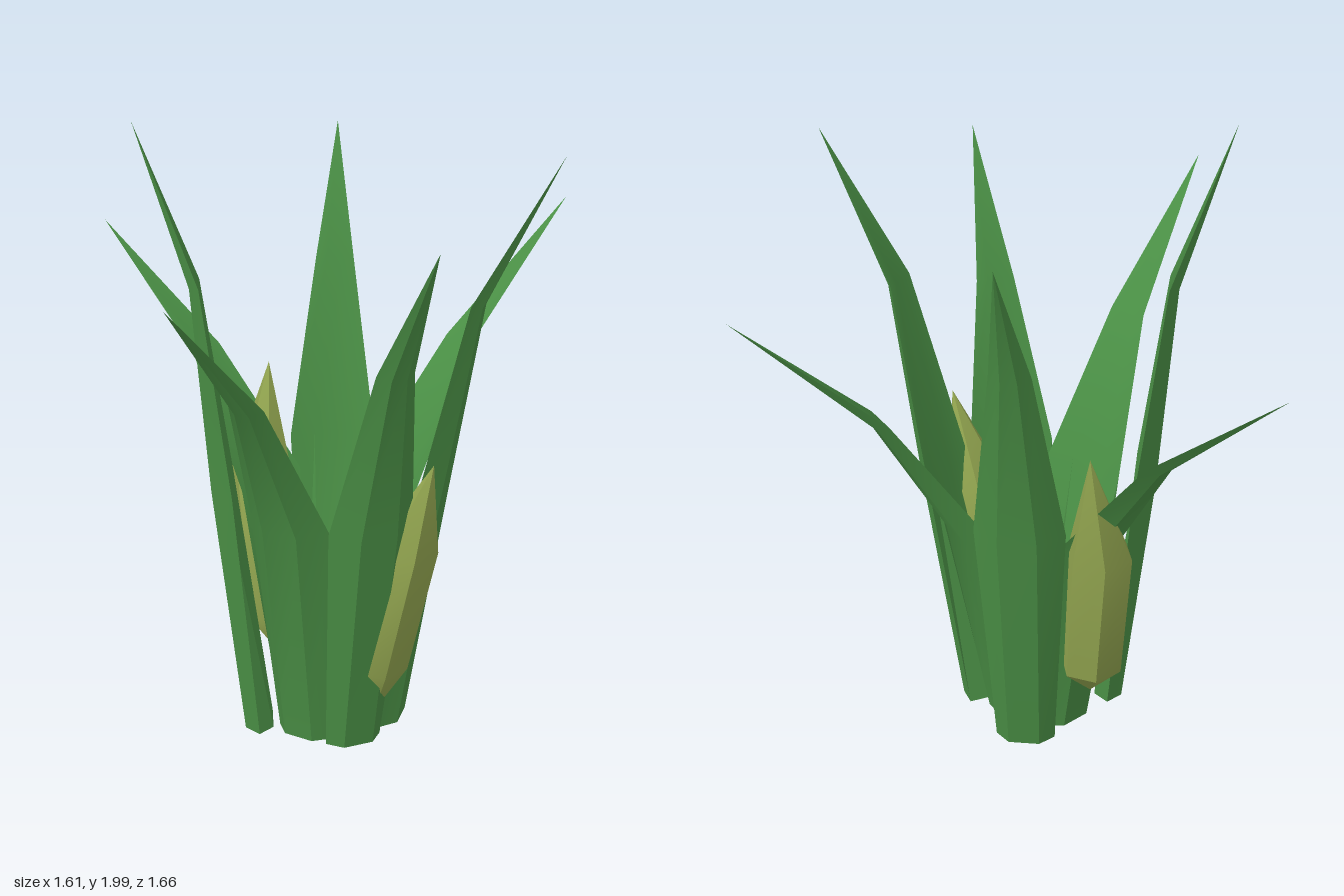
import * as THREE from 'three';
import { toCreasedNormals } from 'three/addons/utils/BufferGeometryUtils.js';

const V = (p) => new THREE.Vector3(...p);
const UP = new THREE.Vector3(0, 1, 0);

// Skins six-sided rings from a start point to a tip
function loft(start, rings, tip) {
  const n = rings[0].length;
  const pts = [start, ...rings.flat(), tip];
  const last = pts.length - 1;
  const index = [];
  for (let j = 0; j < n; j++) {
    const k = (j + 1) % n;
    index.push(0, 1 + k, 1 + j);
    for (let r = 0; r < rings.length - 1; r++) {
      const a = 1 + r * n + j, b = 1 + r * n + k;
      index.push(a, b, b + n, a, b + n, a + n);
    }
    const top = 1 + (rings.length - 1) * n;
    index.push(top + j, top + k, last);
  }
  const geo = new THREE.BufferGeometry().setFromPoints(pts);
  geo.setIndex(index);
  return toCreasedNormals(geo, 0.6);
}

// Ring profile: half width, half width of flat, outer offset, inner offset
const PROFILE = [
  [0.095, 0.05, 0.045, -0.045],
  [0.14, 0.06, 0.065, 0.025],
  [0.062, 0.025, 0.03, 0.0],
];

// Folded leaf blade along base, belly, bend and tip
function leafGeometry(points) {
  const p = points.map(V);
  const out = p[3].clone().sub(p[0]).setY(0).normalize();
  const side = UP.clone().cross(out);
  const rings = PROFILE.map(([w, f, o, i], r) => {
    const tangent = r ? p[r + 1].clone().sub(p[r - 1]).normalize() : UP;
    const normal = side.clone().cross(tangent).normalize();
    return [[-w, 0], [-f, o], [f, o], [w, 0], [f, i], [-f, i]].map(([u, v]) =>
      p[r].clone().addScaledVector(side, u).addScaledVector(normal, v));
  });
  return loft(p[0], rings, p[3]);
}

// Faceted pod: bottom point, two hexagonal rings, tip
function podGeometry(points, radii) {
  const p = points.map(V);
  const rings = radii.map((radius, r) => Array.from({ length: 6 }, (_, j) => {
    const a = (j + 0.5) * Math.PI / 3;
    return p[r + 1].clone().add(V([radius * Math.sin(a), 0, radius * Math.cos(a)]));
  }));
  return loft(p[0], rings, p[3]);
}

const LEAVES = [
  [[0.18, 0.01, -0.17], [0.25, 0.76, -0.26], [0.43, 1.2, -0.49], [0.705, 1.61, -0.835]],
  [[0.31, 0.01, -0.09], [0.41, 0.8, -0.08], [0.555, 1.46, -0.08], [0.805, 1.92, -0.08]],
  [[0.24, 0.01, 0.1], [0.31, 0.8, 0.19], [0.40, 1.34, 0.29], [0.565, 1.77, 0.505]],
  [[0.08, 0.01, 0.1], [0.05, 0.78, 0.18], [-0.01, 1.24, 0.42], [-0.105, 1.65, 0.83]],
  [[-0.085, 0.01, 0.07], [-0.17, 0.85, 0.07], [-0.255, 1.5, 0.11], [-0.43, 2.0, 0.18]],
  [[-0.01, 0.01, -0.13], [-0.12, 0.76, -0.19], [-0.39, 1.14, -0.34], [-0.805, 1.5, -0.515]],
  [[0.07, 0.01, -0.285], [0.03, 0.85, -0.4], [0.0, 1.43, -0.52], [-0.05, 1.84, -0.73]],
];
const PODS = [
  [[0.3, 0.1, 0.05], [0.31, 0.28, 0.08], [0.395, 0.7, 0.09], [0.485, 1.0, 0.12]],
  [[-0.11, 0.16, -0.17], [-0.125, 0.28, -0.2], [-0.18, 0.75, -0.275], [-0.175, 1.11, -0.345]],
];

export function createModel() {
  const plant = new THREE.Group();
  plant.name = 'plant';
  const green = new THREE.MeshStandardMaterial({ color: 0x4a8f45 });
  const podGreen = new THREE.MeshStandardMaterial({ color: 0x93a650 });
  const add = (name, geometry, material) => {
    const mesh = new THREE.Mesh(geometry, material);
    mesh.name = name;
    plant.add(mesh);
  };
  LEAVES.forEach((pts, i) => add(`leaf${i + 1}`, leafGeometry(pts), green));
  PODS.forEach((pts, i) => add(`pod${i + 1}`, podGeometry(pts, [0.1, 0.105]), podGreen));
  return plant;
}
